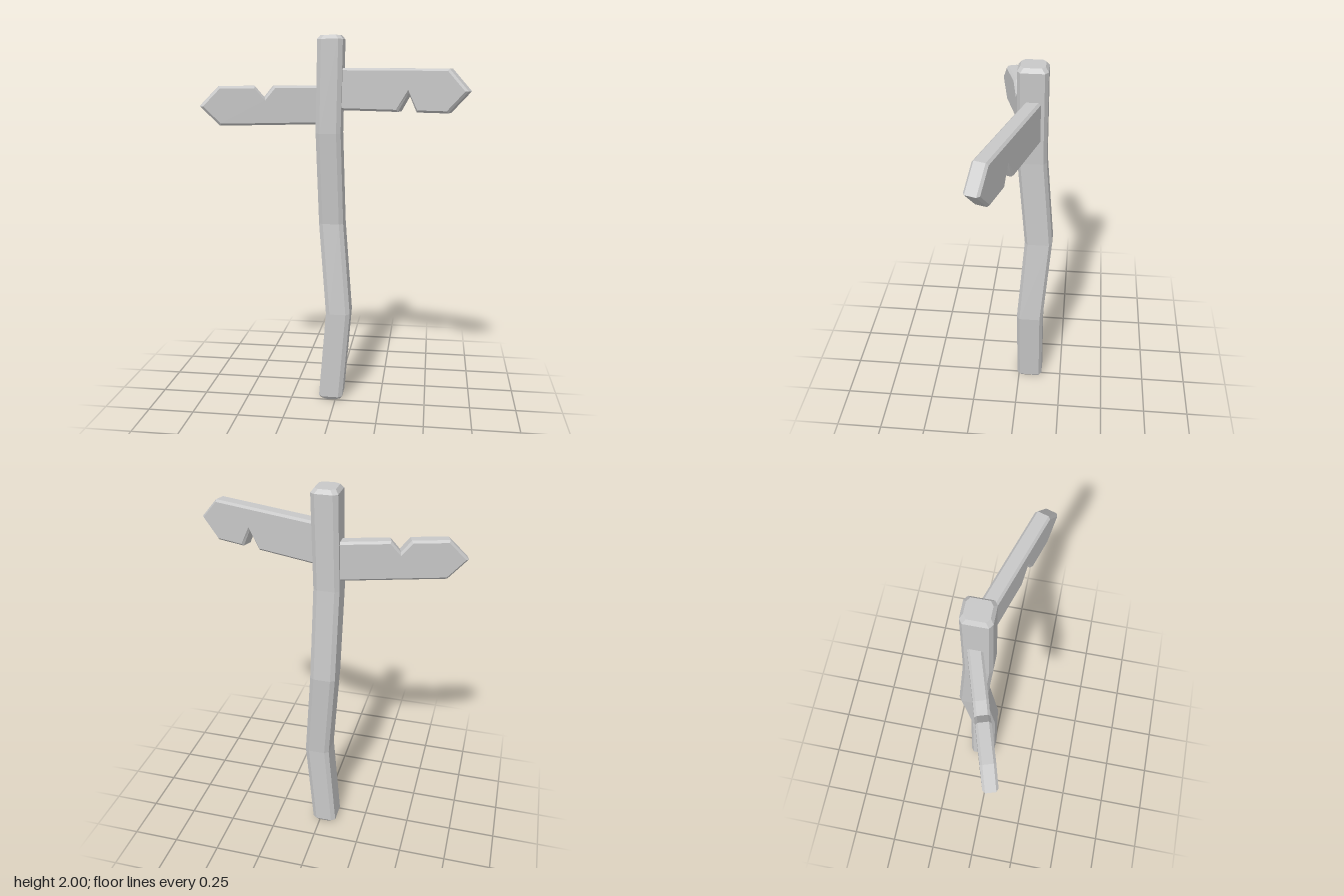
import * as THREE from 'three';

const wood = new THREE.MeshStandardMaterial({ color: 0xc8c8c8, flatShading: true });
wood.name = 'plain grey';

// Chamfered rectangular ring, counter-clockwise seen from above
function ring([y, cx, cz, inset]) {
  const w = 0.066 - inset, d = 0.073 - inset, a = w - 0.022, b = d - 0.016;
  return [[w, -b], [w, b], [a, d], [-a, d], [-w, b], [-w, -b], [-a, -d], [a, -d]]
    .map(([x, n]) => [cx + x, y, cz - n]);
}

// Crooked post lofted through a few rings
function makePost() {
  const rings = [
    [0, -0.027, -0.064, 0.015],
    [0.02, -0.027, -0.064, 0],
    [0.51, 0.014, -0.064, 0],
    [1.01, -0.028, -0.104, 0],
    [1.5, -0.038, -0.064, 0],
    [1.98, -0.027, -0.064, 0],
    [2, -0.027, -0.064, 0.015],
  ].map(ring);
  const pos = [];
  const tri = (a, b, c) => pos.push(...a, ...b, ...c);
  for (let r = 0; r < rings.length - 1; r++) {
    for (let i = 0; i < 8; i++) {
      const j = (i + 1) % 8, lo = rings[r], hi = rings[r + 1];
      tri(lo[i], lo[j], hi[j]);
      tri(lo[i], hi[j], hi[i]);
    }
  }
  const bottom = rings[0], top = rings[rings.length - 1];
  for (let i = 1; i < 7; i++) {
    tri(top[0], top[i], top[i + 1]);
    tri(bottom[0], bottom[i + 1], bottom[i]);
  }
  const geo = new THREE.BufferGeometry();
  geo.setAttribute('position', new THREE.Float32BufferAttribute(pos, 3));
  geo.computeVertexNormals();
  const mesh = new THREE.Mesh(geo, wood);
  mesh.name = 'post';
  return mesh;
}

// Pointed, notched board swung forward about the post
function makeBoard(name, outline, z, turn, thick) {
  const bevel = 0.011;
  const shape = new THREE.Shape(
    outline.map(([x, y]) => new THREE.Vector2(x / Math.cos(turn), y)));
  const geo = new THREE.ExtrudeGeometry(shape, {
    depth: thick - 2 * bevel, bevelEnabled: true, bevelSegments: 1,
    bevelSize: bevel, bevelThickness: bevel, bevelOffset: -bevel,
  });
  geo.translate(0, 0, bevel - thick / 2);
  const mesh = new THREE.Mesh(geo, wood);
  mesh.name = name;
  mesh.position.z = z;
  mesh.rotation.y = turn;
  return mesh;
}

export function createModel() {
  const group = new THREE.Group();
  group.name = 'signpost';
  group.add(makePost());

  // Upper board, notched underneath
  group.add(makeBoard('leftBoard', [
    [0, 1.62], [0.335, 1.62], [0.388, 1.715], [0.43, 1.62],
    [0.585, 1.62], [0.68, 1.727], [0.585, 1.835], [0, 1.835],
  ], -0.075, -0.305, 0.077));

  // Lower board, notched on top
  group.add(makeBoard('rightBoard', [
    [-0.04, 1.545], [-0.59, 1.545], [-0.684, 1.645], [-0.59, 1.745],
    [-0.415, 1.745], [-0.368, 1.687], [-0.322, 1.745], [-0.04, 1.745],
  ], -0.1, 0.307, 0.07));

  return group;
}
